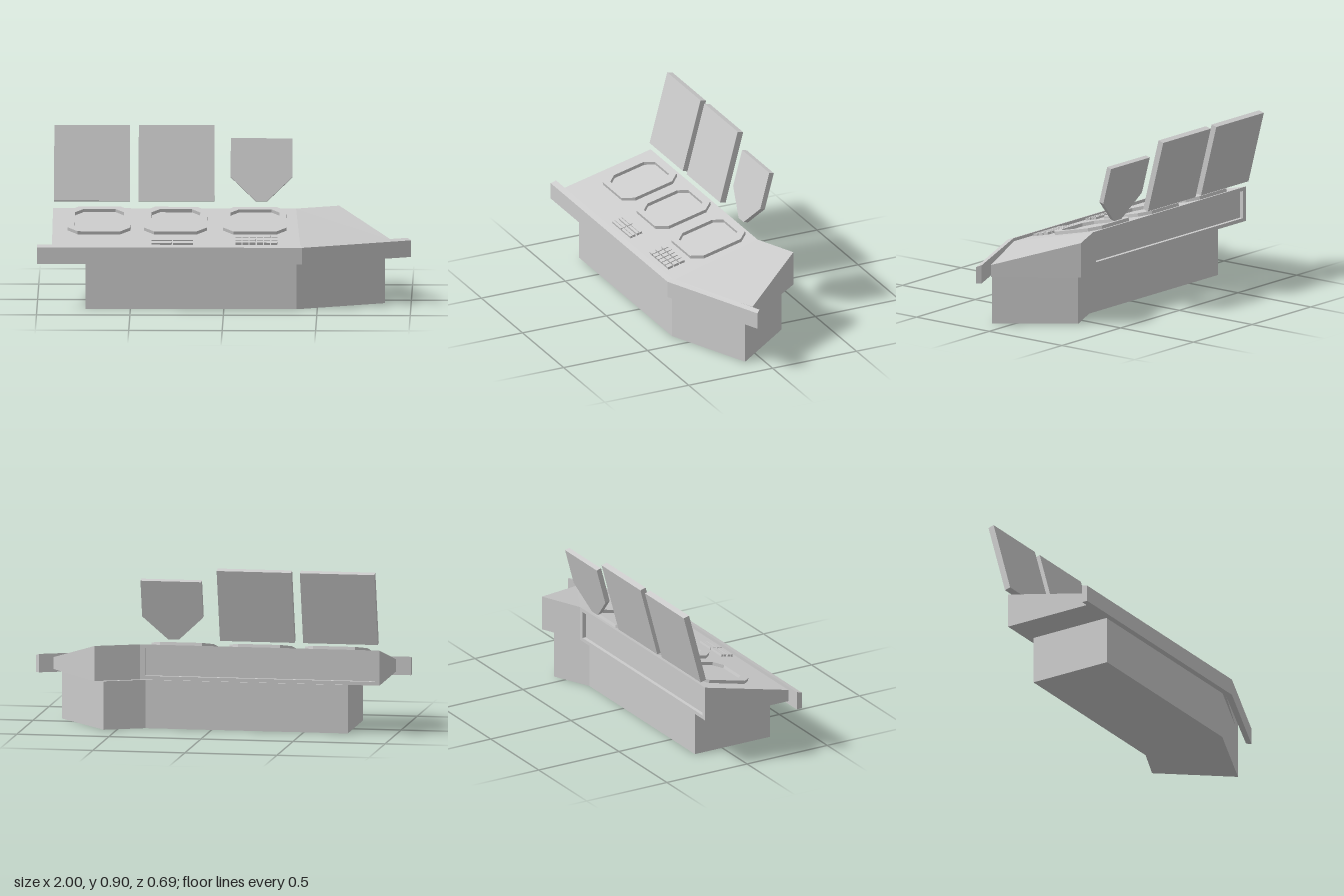
import * as THREE from 'three';

const material = new THREE.MeshStandardMaterial({ color: 0xcccccc, flatShading: true });

function add(parent, name, geometry, x = 0, y = 0, z = 0) {
  const mesh = new THREE.Mesh(geometry, material);
  mesh.name = name;
  mesh.position.set(x, y, z);
  parent.add(mesh);
  return mesh;
}

// Geometry from a list of four-cornered faces, corners counter-clockwise from outside
function fromQuads(quads) {
  const p = [];
  for (const [a, b, c, d] of quads) p.push(...a, ...b, ...d, ...b, ...c, ...d);
  const g = new THREE.BufferGeometry();
  g.setAttribute('position', new THREE.Float32BufferAttribute(p, 3));
  g.computeVertexNormals();
  return g;
}

const shapeOf = (pts) => new THREE.Shape(pts.map(([x, y]) => new THREE.Vector2(x, y)));
const extrude = (shape, depth) => new THREE.ExtrudeGeometry(shape, { depth, bevelEnabled: false });

// Rectangle with cut corners, centred on the origin
function cutRect(w, h, c) {
  const x = w / 2, y = h / 2;
  return [[-x + c, -y], [x - c, -y], [x, -y + c], [x, y - c], [x - c, y], [-x + c, y], [-x, y - c], [-x, -y + c]];
}

// Wedge-shaped desk body with a recessed panel in its rear wall
function deskBody() {
  const plan = [[-0.92, 0.305], [0.41, 0.305], [0.9, 0.07], [0.61, -0.315], [0.38, -0.215], [-0.92, -0.215]];
  const topY = [0.335, 0.335, 0.335, 0.46, 0.46, 0.46];
  const b = plan.map(([x, z]) => [x, 0.27, z]);
  const t = plan.map(([x, z], i) => [x, topY[i], z]);
  const quads = [
    [t[0], t[1], t[4], t[5]], [t[1], t[2], t[3], t[4]],
    [b[5], b[4], b[1], b[0]], [b[4], b[3], b[2], b[1]],
  ];
  for (const i of [0, 1, 2, 3, 5]) {
    const j = (i + 1) % 6;
    quads.push([b[i], b[j], t[j], t[i]]);
  }
  const outer = [b[4], b[5], t[5], t[4]];
  const rect = (z) => [[0.355, 0.29, z], [-0.895, 0.29, z], [-0.895, 0.44, z], [0.355, 0.44, z]];
  const inner = rect(-0.215), deep = rect(-0.195);
  for (let k = 0; k < 4; k++) {
    const n = (k + 1) % 4;
    quads.push([outer[k], outer[n], inner[n], inner[k]], [inner[k], inner[n], deep[n], deep[k]]);
  }
  quads.push(deep);
  return fromQuads(quads);
}

// Bent edge rail with a sloping top, lofted through three sections
function edgeRail() {
  const stations = [
    [[-1, 0.342], [-1, 0.31]],
    [[0.42, 0.342], [0.41, 0.31]],
    [[1, 0.09], [0.98, 0.068]],
  ].map(([[ox, oz], [ix, iz]]) => [[ox, 0.25, oz], [ox, 0.34, oz], [ix, 0.35, iz], [ix, 0.25, iz]]);
  const quads = [stations[0], [...stations[2]].reverse()];
  for (let i = 0; i < 2; i++) {
    for (let k = 0; k < 4; k++) {
      const n = (k + 1) % 4, s = stations[i], e = stations[i + 1];
      quads.push([s[k], e[k], e[n], s[n]]);
    }
  }
  return fromQuads(quads);
}

export function createModel() {
  const model = new THREE.Group();
  model.name = 'controlConsole';

  // Plinth, outline drawn with y pointing to the back
  const plinth = extrude(shapeOf([
    [-0.74, -0.3], [0.39, -0.3], [0.86, -0.095], [0.57, 0.265], [0.36, 0.17], [-0.74, 0.17],
  ]), 0.262);
  add(model, 'plinth', plinth.rotateX(-Math.PI / 2));

  add(model, 'deskBody', deskBody());
  add(model, 'edgeRail', edgeRail());

  // Sloping desk surface: local -z runs up the slope
  const deck = new THREE.Group();
  deck.name = 'deskControls';
  deck.position.set(0, 0.335, 0.305);
  deck.rotation.x = Math.atan2(0.125, 0.52);
  model.add(deck);

  // Raised frames around the three desk displays
  for (const x of [-0.67, -0.262, 0.163]) {
    const frame = shapeOf(cutRect(0.338, 0.338, 0.055));
    frame.holes.push(shapeOf(cutRect(0.262, 0.272, 0.045)));
    add(deck, 'displayFrame', extrude(frame, 0.018).rotateX(-Math.PI / 2), x, 0, -0.345);
  }

  // Keypad of small keys
  const key = new THREE.BoxGeometry(0.032, 0.022, 0.029);
  for (let row = 0; row < 3; row++) {
    for (let col = 0; col < 6; col++) {
      add(deck, 'key', key, 0.077 + col * 0.0385, 0.002, -0.05 - row * 0.036);
    }
  }

  // Two banks of long split buttons
  const button = new THREE.BoxGeometry(0.108, 0.02, 0.014);
  for (const x of [-0.333, -0.219]) {
    for (const z of [-0.038, -0.055, -0.079, -0.096]) add(deck, 'longButton', button, x, 0.002, z);
  }

  // Floating screens leaning backwards
  const screens = new THREE.Group();
  screens.name = 'screens';
  screens.position.set(0, 0.502, -0.205);
  screens.rotation.x = -THREE.MathUtils.degToRad(15);
  model.add(screens);
  for (const x of [-0.712, -0.26]) {
    add(screens, 'squareScreen', new THREE.BoxGeometry(0.405, 0.408, 0.034), x, 0.204, -0.017);
  }
  const pointed = shapeOf([[0.165, 0], [0.225, 0], [0.36, 0.13], [0.36, 0.338], [0.03, 0.338], [0.03, 0.13]]);
  add(screens, 'pointedScreen', extrude(pointed, 0.028), 0, 0, -0.03);

  return model;
}
